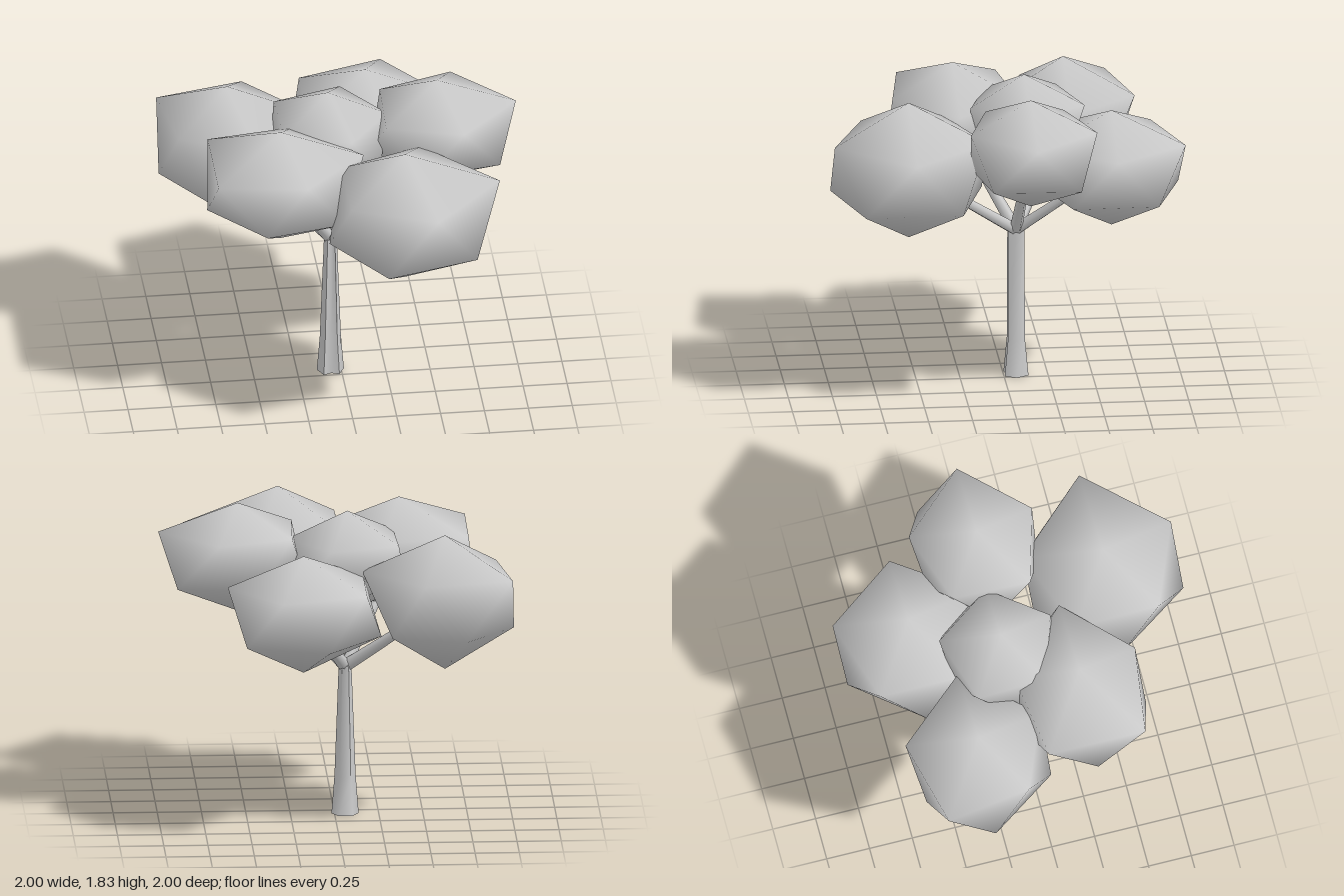
import * as THREE from 'three';
import { toCreasedNormals } from 'three/addons/utils/BufferGeometryUtils.js';

const grey = new THREE.MeshStandardMaterial({ color: 0xcccccc });
grey.name = 'pale grey';

const FORK = new THREE.Vector3(-0.06, 0.86, -0.07);

// Leaf clumps: centre, half height, and the reach of ten corners going
// round from +x towards +z (even corners are high, odd corners low).
const CLUMPS = [
  { name: 'backClump', at: [0.2, 1.3, -0.59], h: 0.34,
    reach: [0.43, 0.42, 0.44, 0.43, 0.43, 0.44, 0.43, 0.41, 0.43, 0.41] },
  { name: 'rightBackClump', at: [-0.61, 1.31, -0.39], h: 0.39,
    reach: [0.47, 0.41, 0.41, 0.41, 0.37, 0.39, 0.46, 0.35, 0.415, 0.38] },
  { name: 'rightFrontClump', at: [-0.38, 1.415, 0.26], h: 0.345,
    reach: [0.47, 0.43, 0.37, 0.375, 0.48, 0.42, 0.475, 0.37, 0.375, 0.42] },
  { name: 'frontClump', at: [0.29, 1.35, 0.57], h: 0.4,
    reach: [0.54, 0.47, 0.455, 0.455, 0.41, 0.43, 0.42, 0.45, 0.455, 0.47] },
  { name: 'leftClump', at: [0.55, 1.515, -0.1], h: 0.315,
    reach: [0.45, 0.41, 0.37, 0.345, 0.39, 0.38, 0.37, 0.33, 0.385, 0.435] },
  { name: 'middleClump', at: [-0.07, 1.475, -0.12], h: 0.305,
    reach: [0.34, 0.34, 0.33, 0.33, 0.33, 0.33, 0.35, 0.3, 0.35, 0.36] },
];

function indexed(positions, index) {
  const g = new THREE.BufferGeometry();
  g.setAttribute('position', new THREE.Float32BufferAttribute(positions, 3));
  g.setIndex(index);
  g.computeVertexNormals();
  return g;
}

// Twenty-sided blob: two poles and a zigzag belt of ten corners
function clumpGeometry(h, reach) {
  const pos = [0, -h, 0, 0, h, 0];
  const idx = [];
  const v = (i) => 2 + (i % 10);
  reach.forEach((r, i) => {
    const a = (i * Math.PI) / 5;
    const high = i % 2 === 0;
    pos.push(r * Math.cos(a), h * (high ? 0.48 : -0.39), r * Math.sin(a));
    if (high) idx.push(v(i), v(i + 2), v(i + 1), v(i), 1, v(i + 2));
    else idx.push(v(i), v(i + 1), v(i + 2), v(i), v(i + 2), 0);
  });
  return indexed(pos, idx);
}

// Flared trunk lofted from a six-sided outline with a groove in front
function trunkGeometry() {
  const outline = [0, 55, 90, 125, 180, 240, 300].map((deg) => {
    const a = THREE.MathUtils.degToRad(deg);
    const r = deg === 90 ? 0.6 : 1;
    return [r * Math.cos(a), r * Math.sin(a)];
  });
  const levels = [[0, 0.077, 0.08], [0.22, 0.06, 0.057], [0.87, 0.036, 0.056]];
  const n = outline.length;
  const pos = [];
  const idx = [];
  levels.forEach(([y, rx, rz], k) => {
    outline.forEach(([x, z], i) => {
      pos.push(x * rx, y, z * rz);
      const j = (i + 1) % n;
      const lo = k * n;
      if (k < levels.length - 1) {
        idx.push(lo + i, lo + n + i, lo + j, lo + j, lo + n + i, lo + n + j);
      }
    });
  });
  // end caps
  const bottom = pos.length / 3;
  const topRing = (levels.length - 1) * n;
  pos.push(0, 0, 0, 0, 0.87, 0);
  for (let i = 0; i < n; i++) {
    const j = (i + 1) % n;
    idx.push(i, j, bottom, topRing + j, topRing + i, bottom + 1);
  }
  return toCreasedNormals(indexed(pos, idx), 1.1);
}

// Tapered limb from the fork up into a clump
function branch(target) {
  const dir = new THREE.Vector3(...target).sub(FORK);
  const length = dir.length() * 0.8;
  const geo = new THREE.CylinderGeometry(0.024, 0.036, length, 6);
  geo.translate(0, length / 2, 0);
  const mesh = new THREE.Mesh(geo, grey);
  mesh.quaternion.setFromUnitVectors(new THREE.Vector3(0, 1, 0), dir.normalize());
  mesh.position.copy(FORK);
  mesh.name = 'branch';
  return mesh;
}

export function createModel() {
  const tree = new THREE.Group();
  tree.name = 'tree';

  const trunk = new THREE.Mesh(trunkGeometry(), grey);
  trunk.name = 'trunk';
  trunk.position.set(FORK.x, 0, FORK.z);
  tree.add(trunk);

  for (const { name, at, h, reach } of CLUMPS) {
    const clump = new THREE.Mesh(clumpGeometry(h, reach), grey);
    clump.name = name;
    clump.position.set(...at);
    tree.add(clump);
    if (name !== 'middleClump') tree.add(branch(at));
  }
  return tree;
}
